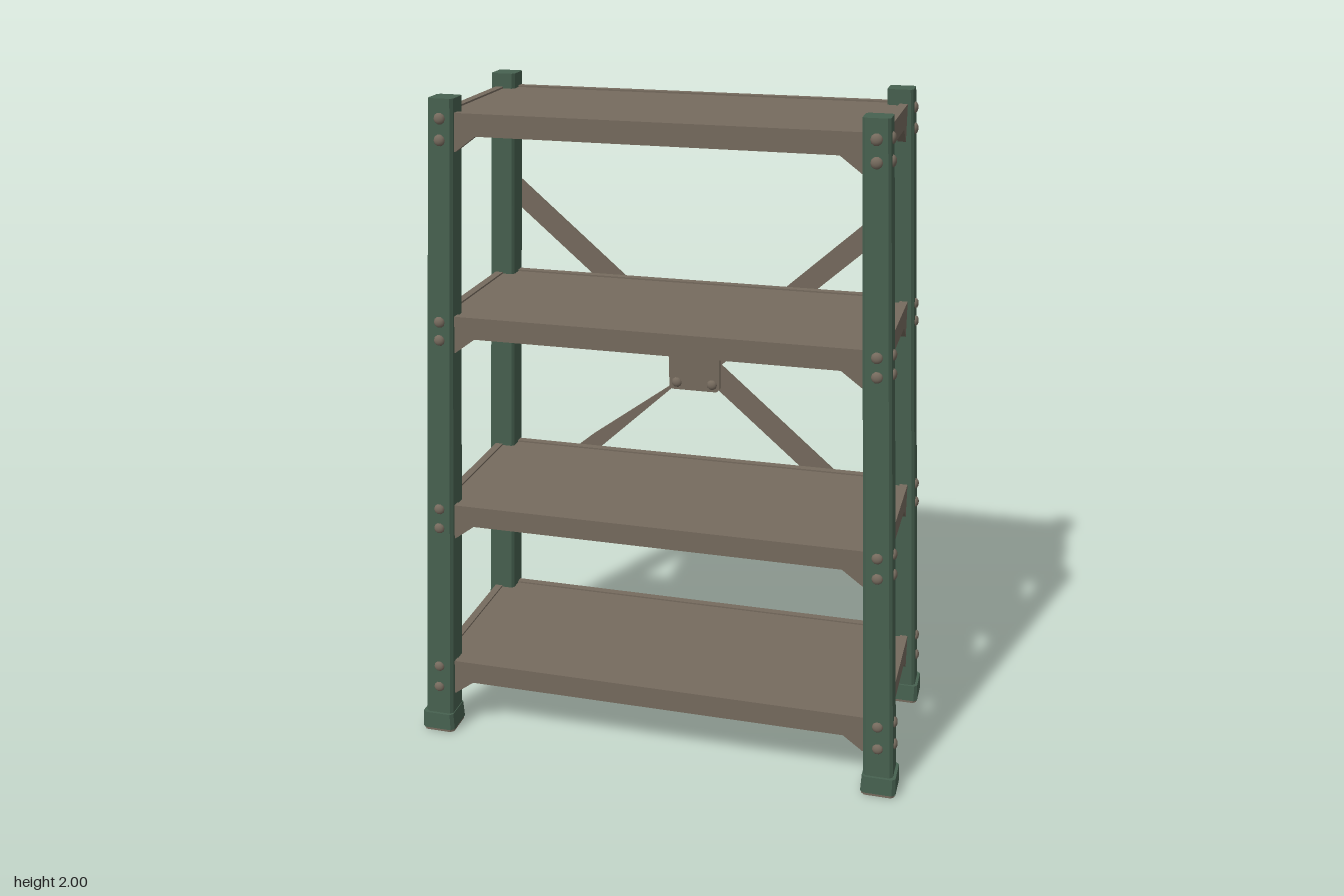
import * as THREE from 'three';

const green = new THREE.MeshStandardMaterial({ color: 0x476150 });
green.name = 'green painted steel';
const brown = new THREE.MeshStandardMaterial({ color: 0x766b5e });
brown.name = 'worn brown metal';

// Centre line and half widths of the leaning, tapering legs
const legX = (y) => 0.703 - 0.051 * y;
const legZ = (y) => 0.277 - 0.018 * y;
const halfX = (y) => 0.045 - 0.004 * y;
const halfZ = (y) => 0.043 - 0.002 * y;

function add(parent, name, geometry, material) {
  const mesh = new THREE.Mesh(geometry, material);
  mesh.name = name;
  parent.add(mesh);
  return mesh;
}

function warp(geometry, rule) {
  const p = geometry.attributes.position;
  const v = new THREE.Vector3();
  for (let i = 0; i < p.count; i++) {
    rule(v.fromBufferAttribute(p, i));
    p.setXYZ(i, v.x, v.y, v.z);
  }
  geometry.computeVertexNormals();
  return geometry;
}

function plate(points, depth) {
  const shape = new THREE.Shape(points.map(([x, y]) => new THREE.Vector2(x, y)));
  return new THREE.ExtrudeGeometry(shape, { depth, bevelEnabled: false }).translate(0, 0, -depth / 2);
}

// Rectangle with cut corners
function octagon(a, b, c) {
  return [[a - c, -b], [a, -b + c], [a, b - c], [a - c, b], [-a + c, b], [-a, b - c], [-a, -b + c], [-a + c, -b]];
}

// Upright block with cut corners, standing on y = 0
function block(a, b, c, h) {
  return plate(octagon(a, b, c), h).rotateX(-Math.PI / 2).translate(0, h / 2, 0);
}

function rivet(parent, x, y, z, axis) {
  const dome = new THREE.SphereGeometry(0.017, 10, 4, 0, Math.PI * 2, 0, Math.PI / 2);
  dome.scale(1, 0.65, 1);
  const mesh = add(parent, 'rivet', dome, brown);
  mesh.position.set(x, y, z);
  if (axis === 'z') mesh.rotation.x = Math.PI / 2;
  else mesh.rotation.z = -Math.PI / 2;
}

const shelves = [
  { top: 1.96, bottom: 1.897, rivets: [1.945, 1.885] },
  { top: 1.375, bottom: 1.31, rivets: [1.36, 1.305] },
  { top: 0.78, bottom: 0.715, rivets: [0.77, 0.707] },
  { top: 0.245, bottom: 0.175, rivets: [0.23, 0.157] },
];

function makeLeg() {
  const leg = new THREE.Group();
  const y0 = 0.03;
  const post = warp(block(1, 1, 0.2, 2 - y0).translate(0, y0, 0), (v) => {
    v.x = legX(v.y) + v.x * halfX(v.y);
    v.z = legZ(v.y) + v.z * halfZ(v.y);
  });
  add(leg, 'legPost', post, green);

  // Flared foot with a thin worn sole
  const foot = warp(block(0.053, 0.053, 0.01, 0.054), (v) => {
    if (v.y > 0.05) { v.x *= 0.95; v.z *= 0.95; }
  });
  add(leg, 'foot', foot, green).position.set(legX(0), 0.009, legZ(0));
  add(leg, 'footSole', block(0.05, 0.05, 0.01, 0.009), brown).position.set(legX(0), 0, legZ(0));

  for (const shelf of shelves) {
    for (const y of shelf.rivets) {
      rivet(leg, legX(y), y, legZ(y) + halfZ(y) - 0.001, 'z');
      rivet(leg, legX(y) + halfX(y) - 0.001, y, legZ(y), 'x');
    }
  }
  return leg;
}

// Rail with a sloping gusset under each end
function railGeometry(half, inner, { top, bottom }) {
  const drop = bottom - 0.045;
  return plate([
    [-half, drop], [-inner, drop], [-inner + 0.06, bottom], [inner - 0.06, bottom],
    [inner, drop], [half, drop], [half, top], [-half, top],
  ], 0.024);
}

function makeShelf(shelf) {
  const group = new THREE.Group();
  const y = (shelf.top + shelf.bottom) / 2;
  const x = legX(y), z = legZ(y);
  const board = block(x + 0.004, z + 0.004, 0.04, shelf.top - shelf.bottom - 0.009);
  add(group, 'shelfBoard', board, brown).position.y = shelf.bottom + 0.004;
  for (const s of [-1, 1]) {
    add(group, 'longRail', railGeometry(x, x - halfX(y), shelf), brown).position.z = s * (z + 0.012);
    const end = add(group, 'endRail', railGeometry(z, z - halfZ(y), shelf), brown);
    end.position.x = s * (x + 0.008);
    end.rotation.y = Math.PI / 2;
  }
  return group;
}

// Flat bar through the given [x, y, width] stations, leaning with the rear legs
function braceBar(stations, offset) {
  const a = stations[0], b = stations[stations.length - 1];
  const n = new THREE.Vector2(a[1] - b[1], b[0] - a[0]).normalize();
  const side = (s) => ([x, y, w]) => [x + n.x * w * s / 2, y + n.y * w * s / 2];
  const outline = [...stations.map(side(-1)), ...stations.map(side(1)).reverse()];
  return warp(plate(outline, 0.01), (v) => { v.z -= 0.327 - 0.0205 * v.y + offset; });
}

export function createModel() {
  const model = new THREE.Group();
  model.name = 'shelvingUnit';

  for (const sx of [-1, 1]) {
    for (const sz of [-1, 1]) {
      const leg = makeLeg();
      leg.name = (sz > 0 ? 'front' : 'rear') + (sx > 0 ? 'LeftLeg' : 'RightLeg');
      leg.scale.set(sx, 1, sz);
      model.add(leg);
    }
  }

  shelves.forEach((shelf, i) => {
    const group = makeShelf(shelf);
    group.name = 'shelf' + (i + 1);
    model.add(group);
  });

  // Crossed rear braces, one pinched just below the crossing
  const brace = new THREE.Group();
  brace.name = 'rearBrace';
  add(brace, 'straightBrace', braceBar([[-0.615, 1.64, 0.07], [0.655, 0.532, 0.07]], 0), brown);
  add(brace, 'pinchedBrace', braceBar([
    [-0.655, 0.532, 0.062], [-0.35, 0.798, 0.048], [-0.09, 1.015, 0.008],
    [0.04, 1.115, 0.064], [0.615, 1.64, 0.066],
  ], -0.007), brown);

  // Riveted plate at the crossing
  const cx = -0.018, cy = 1.09, cz = -0.287;
  add(brace, 'crossPlate', plate(octagon(0.083, 0.083, 0.01), 0.014), brown).position.set(cx, cy, cz);
  for (const sx of [-1, 1]) {
    for (const sy of [-1, 1]) rivet(brace, cx + sx * 0.058, cy + sy * 0.059, cz + 0.006, 'z');
  }
  model.add(brace);
  return model;
}
